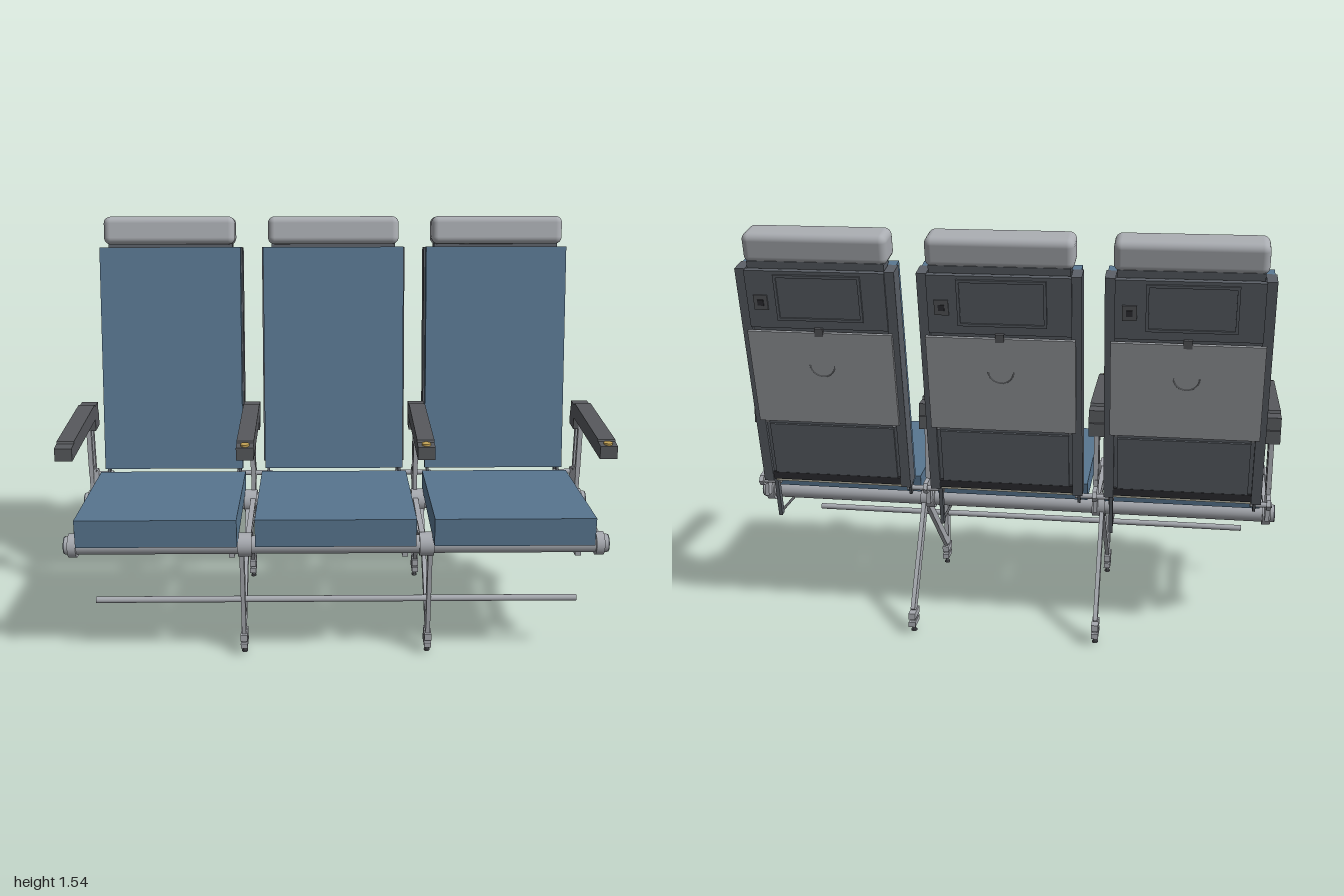
import * as THREE from 'three';
import { RoundedBoxGeometry } from 'three/addons/geometries/RoundedBoxGeometry.js';

const mat = (name, color) => {
  const m = new THREE.MeshStandardMaterial({ color });
  m.name = name;
  return m;
};

export function createModel() {
  const blue = mat('blue fabric', 0x587690);
  const grey = mat('headrest grey', 0xa9acb1);
  const metal = mat('bare metal', 0xa6a9af);
  const shellMat = mat('shell grey', 0x5a5f66);
  const armMat = mat('arm grey', 0x57595d);
  const trayMat = mat('tray grey', 0x96999d);
  const black = mat('pan black', 0x2e2f33);
  const gold = mat('brass', 0xc2a254);
  const beige = mat('beige trim', 0xc4c1ae);

  const root = new THREE.Group();
  root.name = 'tripleSeat';

  const add = (parent, name, geo, material, x = 0, y = 0, z = 0) => {
    const m = new THREE.Mesh(geo, material);
    m.name = name;
    m.position.set(x, y, z);
    parent.add(m);
    return m;
  };
  const group = (parent, name, x = 0, y = 0, z = 0) => {
    const g = new THREE.Group();
    g.name = name;
    g.position.set(x, y, z);
    parent.add(g);
    return g;
  };
  const box = (p, name, w, h, d, m, x, y, z) => add(p, name, new THREE.BoxGeometry(w, h, d), m, x, y, z);
  const tubeX = (p, name, r, len, m, x, y, z) =>
    add(p, name, new THREE.CylinderGeometry(r, r, len, 24).rotateZ(Math.PI / 2), m, x, y, z);
  const tubeZ = (p, name, r, z0, z1, m, x, y) =>
    add(p, name, new THREE.CylinderGeometry(r, r, z1 - z0, 16).rotateX(Math.PI / 2), m, x, y, (z0 + z1) / 2);

  // Side-profile plate: points are [z, y], thickness runs along x
  const plate = (p, name, pts, t, m, x, hole) => {
    const s = new THREE.Shape(pts.map(([z, y]) => new THREE.Vector2(z, y)));
    if (hole) s.holes.push(new THREE.Path(hole.map(([z, y]) => new THREE.Vector2(z, y))));
    const g = new THREE.ExtrudeGeometry(s, { depth: t, bevelEnabled: false });
    return add(p, name, g.rotateY(-Math.PI / 2).translate(t / 2, 0, 0), m, x);
  };
  // Flat strut between two [z, y] points
  const strut = (p, name, a, b, w, t, m, x) => {
    const dz = b[0] - a[0], dy = b[1] - a[1], l = Math.hypot(dz, dy);
    const nz = (-dy / l) * w / 2, ny = (dz / l) * w / 2;
    return plate(p, name, [[a[0] + nz, a[1] + ny], [b[0] + nz, b[1] + ny],
      [b[0] - nz, b[1] - ny], [a[0] - nz, a[1] - ny]], t, m, x);
  };

  const FRONT = 0.355, REAR = -0.07, BEAM = 0.455;

  // Cross beams and luggage bar
  for (const z of [FRONT, REAR]) {
    tubeX(root, 'beam', 0.034, 1.99, metal, 0, BEAM, z);
    for (const s of [-1, 1]) tubeX(root, 'beamCap', 0.032, 0.01, shellMat, s * 0.995, BEAM, z);
  }
  tubeX(root, 'luggageBar', 0.012, 1.8, metal, 0, 0.225, 0.34);

  // Seats
  for (const cx of [-0.65, -0.005, 0.64]) {
    const seat = group(root, 'seat', cx);
    plate(seat, 'seatCushion', [[0.455, 0.49], [0.455, 0.595], [-0.13, 0.557], [-0.12, 0.49]], 0.58, blue, 0);
    box(seat, 'seatPan', 0.56, 0.008, 0.44, black, 0, 0.487, 0.155);

    const back = group(seat, 'backrest', 0, 0.56, -0.155);
    back.rotation.x = -0.2;
    box(back, 'backCushion', 0.555, 0.885, 0.042, blue, 0, 0.4425, -0.021);
    box(back, 'backShell', 0.5, 0.85, 0.06, shellMat, 0, 0.455, -0.071);
    for (const s of [-1, 1]) {
      box(back, 'sideRail', 0.036, 0.86, 0.073, shellMat, s * 0.266, 0.455, -0.078);
      box(back, 'trayArm', 0.012, 0.3, 0.014, metal, s * 0.24, 0.43, -0.108);
    }
    box(back, 'bottomTrim', 0.5, 0.018, 0.03, beige, 0, 0.018, -0.07);
    box(back, 'lowerPocket', 0.47, 0.22, 0.008, shellMat, 0, 0.16, -0.105);
    box(back, 'pocketEdge', 0.5, 0.03, 0.01, black, 0, 0.047, -0.105);

    // Upper housing with screen and control
    box(back, 'upperHousing', 0.5, 0.215, 0.022, shellMat, 0, 0.775, -0.111);
    const sx = -0.01, sy = 0.785;
    for (const s of [-1, 1]) {
      box(back, 'screenFrameSide', 0.01, 0.17, 0.008, shellMat, sx + s * 0.15, sy, -0.126);
      box(back, 'screenFrameEdge', 0.31, 0.01, 0.008, shellMat, sx, sy + s * 0.08, -0.126);
    }
    box(back, 'screen', 0.29, 0.15, 0.004, shellMat, sx, sy, -0.123);
    box(back, 'controlPad', 0.05, 0.055, 0.006, armMat, 0.2, 0.765, -0.124);
    box(back, 'controlButton', 0.022, 0.022, 0.004, black, 0.2, 0.765, -0.128);

    // Folded tray table
    box(back, 'trayTable', 0.525, 0.36, 0.014, trayMat, 0, 0.475, -0.123);
    const cup = new THREE.TorusGeometry(0.045, 0.002, 6, 24, Math.PI);
    add(back, 'trayCupRing', cup.rotateZ(Math.PI), trayMat, 0, 0.53, -0.131);
    box(back, 'trayLatch', 0.03, 0.03, 0.012, armMat, 0, 0.658, -0.128);

    // Headrest
    add(back, 'headrest', new RoundedBoxGeometry(0.515, 0.108, 0.122, 4, 0.026), grey, 0, 0.95, -0.036);
    box(back, 'headrestBase', 0.49, 0.03, 0.07, shellMat, 0, 0.892, -0.06);

    // Recline pivots and gas spring
    for (const s of [-1, 1]) {
      tubeX(seat, 'pivotPin', 0.01, 0.08, metal, s * 0.29, 0.53, -0.185);
      strut(seat, 'pivotBracket', [-0.175, 0.51], [-0.215, 0.62], 0.035, 0.01, shellMat, s * 0.265);
    }
    strut(seat, 'reclineLever', [-0.21, 0.58], [-0.175, 0.39], 0.024, 0.014, shellMat, 0.26);
    tubeZ(seat, 'springRod', 0.005, -0.18, 0.01, armMat, 0.26, 0.4);
    tubeZ(seat, 'gasSpring', 0.012, 0.005, 0.27, gold, 0.26, 0.402);
    box(seat, 'springMount', 0.022, 0.032, 0.06, metal, 0.26, 0.405, 0.295);
    strut(seat, 'springHanger', [0.3, 0.4], [0.35, 0.45], 0.03, 0.016, metal, 0.26);
  }

  // Armrests and spreaders between the beams
  [-0.968, -0.327, 0.318, 0.966].forEach((x, i) => {
    const arm = group(root, 'armrestUnit', x);
    for (const z of [FRONT, REAR]) tubeX(arm, 'beamCollar', 0.044, 0.03, metal, 0, BEAM, z);
    plate(arm, 'spreader', [[0.33, 0.432], [0.33, 0.478], [-0.05, 0.478], [-0.05, 0.432]], 0.02, metal, 0,
      [[0.28, 0.443], [0.28, 0.467], [0.005, 0.467], [0.005, 0.443]]);
    box(arm, 'spreaderWeb', 0.008, 0.03, 0.29, metal, 0, 0.455, 0.142);
    plate(arm, 'postBase', [[-0.07, 0.45], [-0.145, 0.45], [-0.145, 0.505], [-0.19, 0.51], [-0.205, 0.53],
      [-0.19, 0.55], [-0.145, 0.555], [-0.145, 0.58], [-0.07, 0.58]], 0.016, metal, 0);
    for (const z of [-0.08, -0.133]) box(arm, 'armPost', 0.018, 0.22, 0.021, metal, 0, 0.67, z);
    box(arm, 'armHub', 0.06, 0.05, 0.077, armMat, 0, 0.778, -0.108);
    plate(arm, 'armrest', [[0.405, 0.803], [0.405, 0.85], [0.36, 0.853], [0.355, 0.86],
      [-0.07, 0.86], [-0.075, 0.85], [-0.135, 0.85], [-0.135, 0.8]], 0.062, armMat, 0);
    // Recline button
    if (i > 0) add(arm, 'reclineButton', new THREE.CylinderGeometry(0.016, 0.016, 0.008, 20), gold, 0, 0.854, 0.382);
  });

  // Leg frames
  for (const x of [-0.35, 0.344]) {
    const legs = group(root, 'legFrame', x);
    for (const z of [FRONT, REAR]) tubeX(legs, 'legCollar', 0.044, 0.024, metal, 0, BEAM, z);
    plate(legs, 'frontLeg', [[0.378, 0.43], [0.327, 0.43], [0.312, 0.08], [0.355, 0.08]], 0.016, metal, 0);
    strut(legs, 'brace', [0.315, 0.1], [-0.055, 0.43], 0.036, 0.016, metal, 0);
    strut(legs, 'rearLeg', [-0.085, 0.44], [-0.328, 0.085], 0.045, 0.016, metal, 0);
    for (const z of [0.33, -0.325]) {
      const foot = group(legs, 'foot', 0, 0, z);
      box(foot, 'footTop', 0.026, 0.025, 0.076, metal, 0, 0.073, 0);
      box(foot, 'footNeck', 0.018, 0.02, 0.05, metal, 0, 0.055, 0);
      box(foot, 'footBlock', 0.026, 0.02, 0.076, metal, 0, 0.04, 0);
      add(foot, 'footStud', new THREE.CylinderGeometry(0.007, 0.007, 0.03, 12), armMat, 0, 0.017, 0);
      add(foot, 'footDisc', new THREE.CylinderGeometry(0.011, 0.011, 0.006, 16), armMat, 0, 0.003, 0);
    }
  }
  return root;
}
